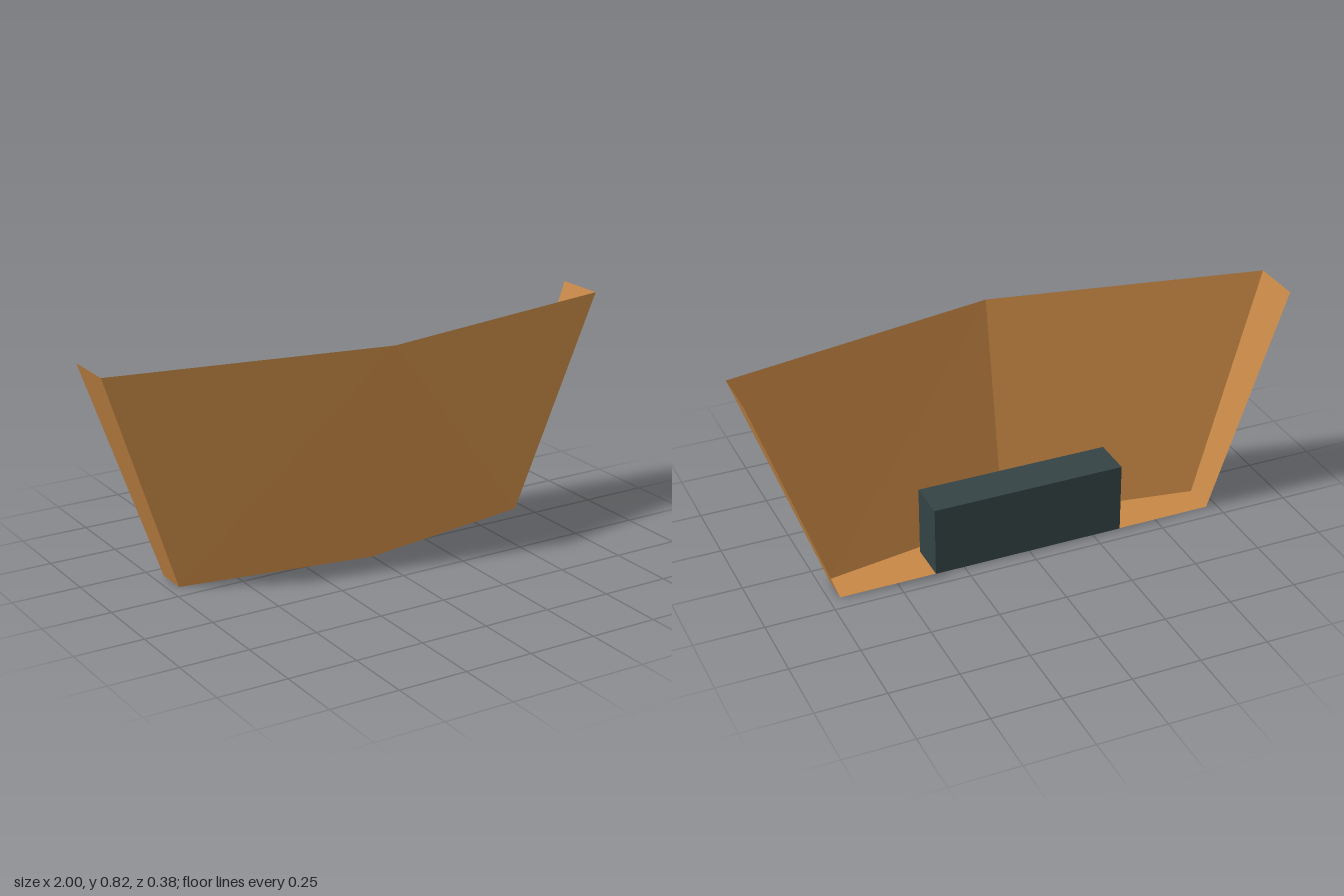
import * as THREE from 'three';

const wood = new THREE.MeshStandardMaterial({ color: 0xc68745, side: THREE.DoubleSide });
wood.name = 'tan shell';
const dark = new THREE.MeshStandardMaterial({ color: 0x344345 });
dark.name = 'dark slate';

// Flat panel from a loop of corners, fanned from the first corner
function panel(name, corners) {
  const pos = [];
  for (let i = 1; i < corners.length - 1; i++) {
    pos.push(...corners[0], ...corners[i], ...corners[i + 1]);
  }
  const geo = new THREE.BufferGeometry();
  geo.setAttribute('position', new THREE.Float32BufferAttribute(pos, 3));
  geo.computeVertexNormals();
  const mesh = new THREE.Mesh(geo, wood);
  mesh.name = name;
  return mesh;
}

export function createModel() {
  const group = new THREE.Group();
  group.name = 'openShell';
  const H = 0.82, back = -0.19;

  // Centre fold of the front
  const topMid = [0, H, 0.19], lowMid = [0, 0, 0.045];

  // Mirrored front and side panels
  for (const [s, side] of [[1, 'left'], [-1, 'right']]) {
    const topOut = [s, H, 0], lowOut = [s * 0.71, 0, -0.073];
    const topBack = [s, H, back], lowBack = [s * 0.71, 0, back];
    const front = [topMid, lowMid, lowOut, topOut];
    const end = [topOut, lowOut, lowBack, topBack];
    group.add(panel(side + 'FrontPanel', s > 0 ? front : front.reverse().map((_, i, a) => a[(i + 3) % 4])));
    group.add(panel(side + 'SidePanel', s > 0 ? end : end.reverse()));
  }

  // Floor, a hair above the underside of the block
  const y = 0.001;
  group.add(panel('floor', [
    [0, y, 0.045], [0.71, y, -0.073], [0.71, y, back], [-0.71, y, back], [-0.71, y, -0.073],
  ]));

  // Block standing at the back of the floor
  const block = new THREE.Mesh(new THREE.BoxGeometry(0.714, 0.26, 0.15), dark);
  block.name = 'block';
  block.position.set(0, 0.13, back + 0.075);
  group.add(block);

  return group;
}
